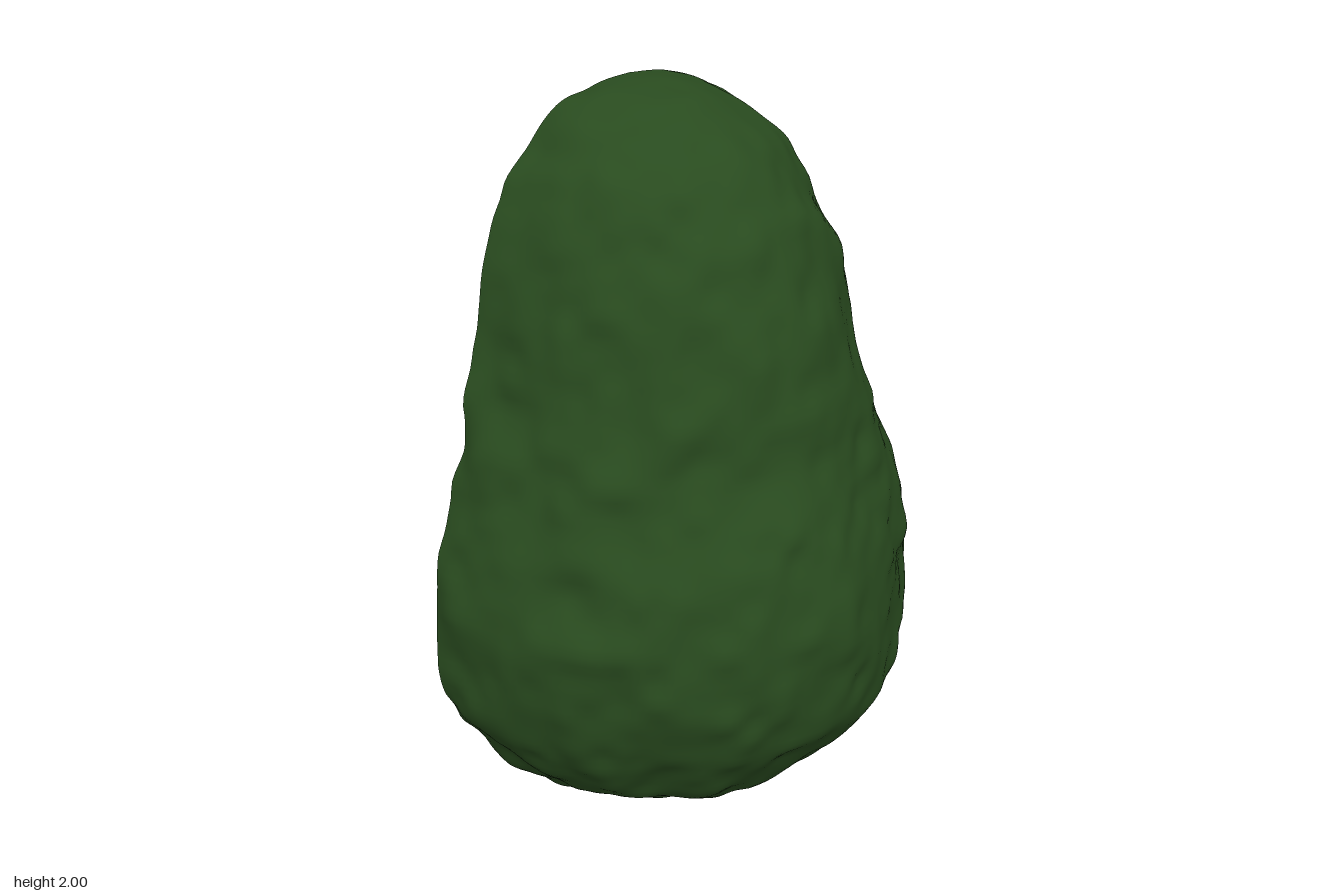
import * as THREE from 'three';
import { mergeVertices } from 'three/addons/utils/BufferGeometryUtils.js';

const CUT = -0.26; // z of the cut face
const ROWS = 130;
const PIT = new THREE.Vector3(0.002, 0.645, -0.236);

// Smooth surface through a grid of points fn(i, j)
function grid(rows, cols, fn) {
  const pos = [], index = [];
  for (let i = 0; i <= rows; i++)
    for (let j = 0; j <= cols; j++) pos.push(...fn(i, j).toArray());
  for (let i = 0; i < rows; i++)
    for (let j = 0; j < cols; j++) {
      const a = i * (cols + 1) + j, c = a + cols + 1;
      index.push(a, c, a + 1, a + 1, c, c + 1);
    }
  let g = new THREE.BufferGeometry();
  g.setAttribute('position', new THREE.Float32BufferAttribute(pos, 3));
  g.setIndex(index);
  g = mergeVertices(g, 1e-5);
  g.computeVertexNormals();
  return g;
}

// Value noise for the bumpy skin, range -1..1
function hash(x, y, z) {
  const s = Math.sin(x * 127.1 + y * 311.7 + z * 74.7) * 43758.5453;
  return (s - Math.floor(s)) * 2 - 1;
}
function noise(x, y, z) {
  const f = [x, y, z].map(Math.floor);
  const [u, v, w] = [x - f[0], y - f[1], z - f[2]].map(t => t * t * (3 - 2 * t));
  let sum = 0;
  for (let c = 0; c < 8; c++) {
    const a = c & 1, b = (c >> 1) & 1, d = c >> 2;
    sum += (a ? u : 1 - u) * (b ? v : 1 - v) * (d ? w : 1 - w) * hash(f[0] + a, f[1] + b, f[2] + d);
  }
  return sum;
}

// Skin profile: half width, height, front-most z
const skinCurve = new THREE.CatmullRomCurve3([
  [0, 2, CUT], [0.12, 1.993, -0.13], [0.24, 1.95, 0], [0.36, 1.845, 0.13], [0.44, 1.7, 0.255],
  [0.505, 1.5, 0.343], [0.548, 1.3, 0.388], [0.598, 1.1, 0.44], [0.667, 0.88, 0.513], [0.703, 0.65, 0.54],
  [0.678, 0.44, 0.518], [0.6, 0.28, 0.43], [0.475, 0.15, 0.29], [0.33, 0.07, 0.11], [0.17, 0.02, -0.09], [0, 0.002, CUT],
].map(p => new THREE.Vector3(...p)));
const skinRows = skinCurve.getSpacedPoints(ROWS);

function skinPoint(i, angle) {
  const { x: w, y, z: depth } = skinRows[i];
  const p = new THREE.Vector3(w * Math.cos(angle), y, CUT + (depth - CUT) * Math.sin(angle));
  const dir = p.clone().sub(new THREE.Vector3(0, THREE.MathUtils.clamp(y, 0.6, 1.5), CUT)).normalize();
  const bump = 0.018 * noise(p.x * 7 + 3, p.y * 7, p.z * 7) + 0.01 * noise(p.x * 15, p.y * 15 + 5, p.z * 15);
  return p.addScaledVector(dir, bump * Math.min(1, w * 3));
}

// Flesh outline, a closed loop from the top round through -x
const half = [[0.15, 1.885], [0.27, 1.815], [0.365, 1.68], [0.415, 1.5], [0.44, 1.3], [0.49, 1.1],
  [0.575, 0.87], [0.612, 0.63], [0.575, 0.39], [0.45, 0.2], [0.24, 0.1]];
const fleshCurve = new THREE.CatmullRomCurve3([
  [0, 1.91], ...half.map(([x, y]) => [-x, y]), [0, 0.07], ...half.slice().reverse(),
].map(([x, y]) => new THREE.Vector3(x, y, 0)), true);
const LOOP = ROWS * 2;
fleshCurve.arcLengthDivisions = 800;
const outline = fleshCurve.getSpacedPoints(LOOP);

// Point on the outline moved inward along its normal
function insetPoint(j, d) {
  const n = outline.length - 1;
  const t = outline[(j + 1) % n].clone().sub(outline[(j - 1 + n) % n]).normalize();
  const p = outline[j % n];
  return new THREE.Vector3(p.x - t.y * d, p.y + t.x * d, 0);
}

export function createModel() {
  const group = new THREE.Group();
  const material = (name, color) => {
    const m = new THREE.MeshStandardMaterial({ color });
    m.name = name;
    return m;
  };
  const green = material('skin green', 0x294b1f);
  const lime = material('flesh green', 0xb5cd70);
  const brown = material('pit brown', 0x7a421f);
  green.side = lime.side = THREE.DoubleSide;
  const add = (name, geometry, mat) => {
    const mesh = new THREE.Mesh(geometry, mat);
    mesh.name = name;
    group.add(mesh);
    return mesh;
  };

  // Bumpy half shell
  const COLS = 130;
  add('skin', grid(ROWS, COLS, (i, j) => skinPoint(i, Math.PI * (1 - j / COLS))), green);

  // Rounded lip between skin edge and flesh, dropping into a groove
  const lip = [[0, 0], [0.15, -0.006], [0.4, -0.007], [0.65, 0], [0.85, 0.014], [1, 0.04]];
  add('skinRim', grid(lip.length - 1, LOOP, (i, j) => {
    const outer = j <= ROWS ? skinPoint(j, Math.PI) : skinPoint(LOOP - j, 0);
    const [s, dz] = lip[i];
    const p = outer.lerp(insetPoint(j, 0), s);
    p.z = CUT + dz;
    return p;
  }), green);

  // Flesh: softly rounded edge, shallow dish, then a crater round the pit
  const edge = [[0, -0.215], [0, -0.236], [0.012, -0.252], [0.03, -0.267], [0.055, -0.281], [0.085, -0.291], [0.115, -0.296]];
  const DISH = 16;
  const crater = [[0.985, -0.285], [0.955, -0.27], [0.925, -0.235], [0.88, -0.16], [0.76, -0.08]];
  add('flesh', grid(edge.length + DISH + crater.length - 1, LOOP, (i, j) => {
    if (i < edge.length) {
      const p = insetPoint(j, edge[i][0]);
      p.z = edge[i][1];
      return p;
    }
    const p = insetPoint(j, 0.115);
    const a = Math.atan2(p.y - PIT.y, p.x);
    const ring = k => new THREE.Vector3(0.36 * k * Math.cos(a), PIT.y + 0.37 * k * Math.sin(a), 0);
    const d = i - edge.length;
    if (d < DISH) {
      const s = (d + 1) / DISH;
      p.lerp(ring(1), s);
      // Gentle swelling in the middle of the neck
      const swell = 0.013 * Math.exp(-((p.x / 0.22) ** 2) - ((p.y - 1.53) / 0.2) ** 2);
      p.z = -0.296 + 0.004 * s + 0.008 * Math.sin(Math.PI * s) - swell;
      return p;
    }
    const [k, z] = crater[d - DISH];
    return ring(k).setZ(z);
  }), lime);

  // Round pit
  add('pit', new THREE.SphereGeometry(0.319, 64, 40), brown).position.copy(PIT);

  return group;
}
